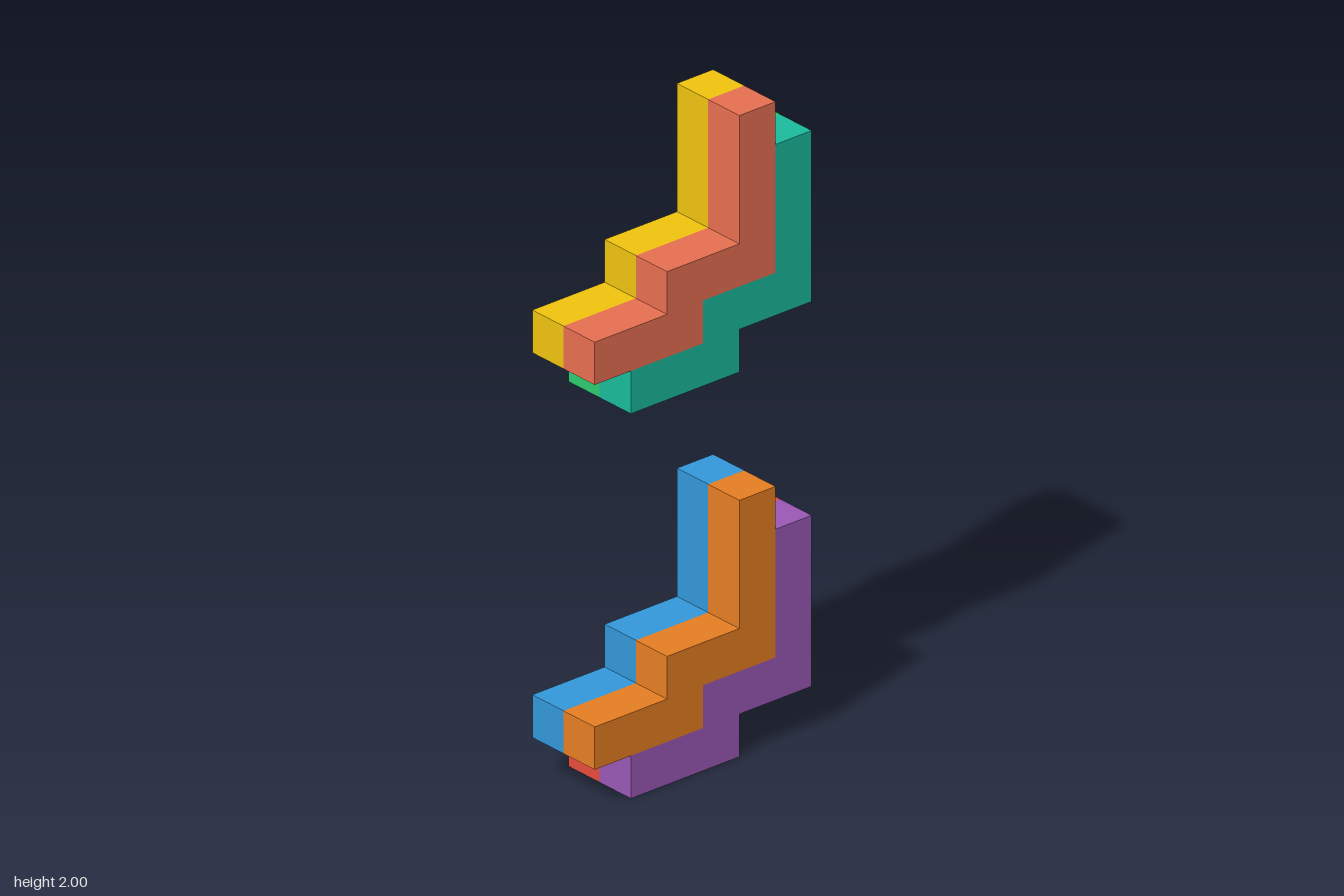
import * as THREE from 'three';

// Cell size of the block grid: the model is 15 cells tall
const U = 2 / 15;

// Stepped outline in cells as (z, y), shared by every piece
const OUTLINE = [
  [2, 0], [2, 1], [0, 1], [0, 2], [-2, 2],
  [-2, 5], [-3, 5], [-3, 1], [-1, 1], [-1, 0],
];

// One stepped piece, a single cell wide, starting at cell x and shifted by dz, dy
function steppedPiece(name, color, x, dz, dy) {
  const points = OUTLINE.map(([z, y]) => new THREE.Vector2((z + dz) * U, (y + dy) * U));
  const geometry = new THREE.ExtrudeGeometry(new THREE.Shape(points), { depth: U, bevelEnabled: false });
  geometry.rotateY(-Math.PI / 2); // outline into the z-y plane, depth towards -x
  geometry.translate((x + 1) * U, 0, 0);
  const mesh = new THREE.Mesh(geometry, new THREE.MeshStandardMaterial({ color, flatShading: true }));
  mesh.name = name;
  return mesh;
}

// Four pieces: a back layer, and a front layer nested on its steps
function assembly(name, y, colors) {
  const group = new THREE.Group();
  group.name = name;
  group.position.y = y * U;
  group.add(
    steppedPiece('rightBackPiece', colors.rightBack, -1, 0, 0),
    steppedPiece('leftBackPiece', colors.leftBack, 0, 0, 0),
    steppedPiece('rightFrontPiece', colors.rightFront, -1, 1, 1),
    steppedPiece('leftFrontPiece', colors.leftFront, 0, 1, 1),
  );
  return group;
}

export function createModel() {
  const model = new THREE.Group();
  model.name = 'steppedBlocks';
  model.add(
    assembly('lowerAssembly', 0, {
      rightBack: 0xe74c3c, leftBack: 0x9b59b6, rightFront: 0x3498db, leftFront: 0xe67e22,
    }),
    assembly('upperAssembly', 9, {
      rightBack: 0x2ecc71, leftBack: 0x1abc9c, rightFront: 0xf1c40f, leftFront: 0xe76f51,
    }),
  );
  return model;
}
